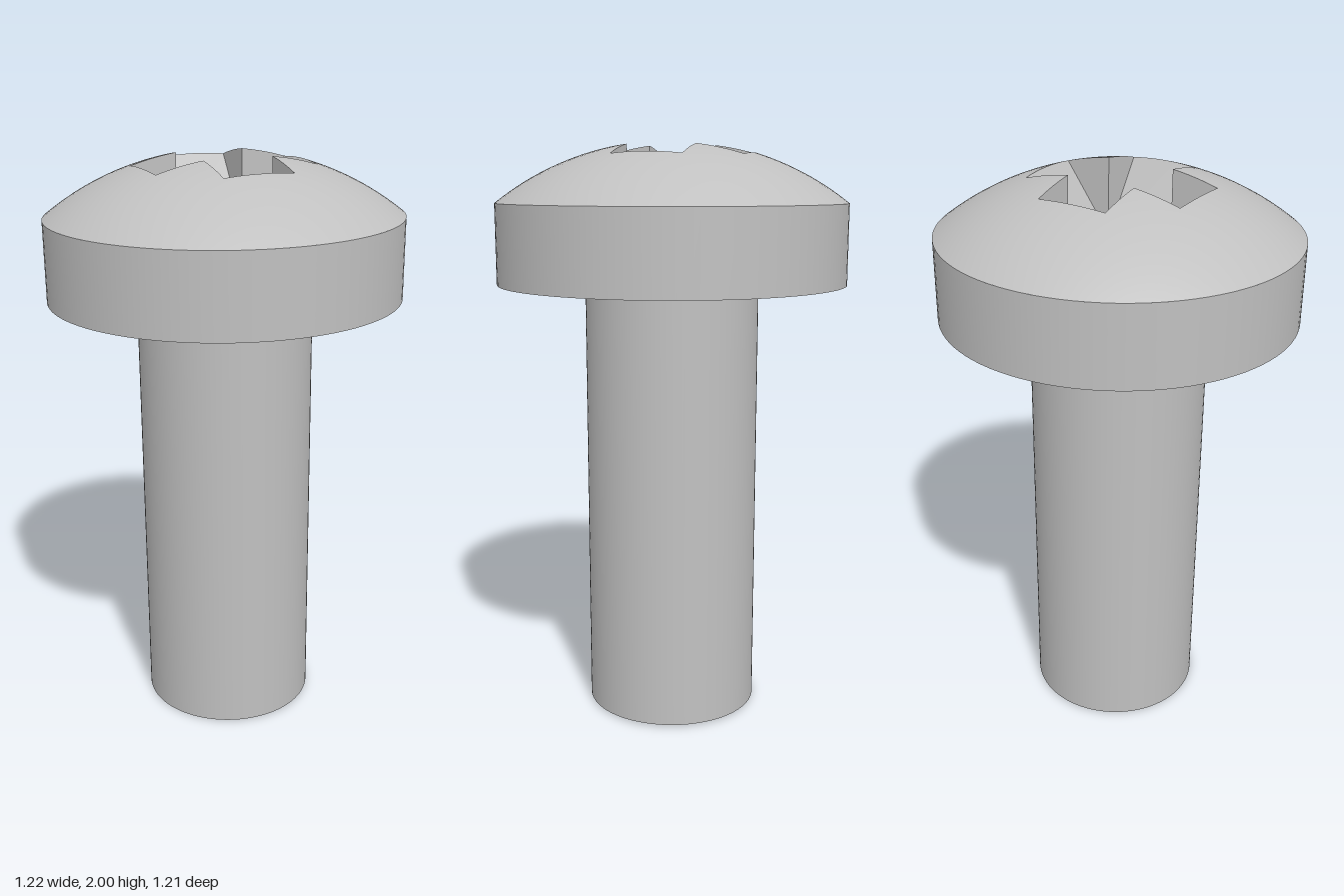
import * as THREE from 'three';

const SHANK_R = 0.302, HEAD_R = 0.606, UNDER_Y = 1.527, RIM_Y = 1.802;
const DOME_R = 0.98;                       // radius of the dome's sphere
const HALF = 0.121, REACH = 0.283;         // cross arm half width and reach
const SLOPE = 1.4;                         // steepness of the arm floors
const TURN = THREE.MathUtils.degToRad(14.3);
const SEGMENTS = 96;

const domeBase = RIM_Y - Math.sqrt(DOME_R ** 2 - HEAD_R ** 2);
const domeY = (r) => domeBase + Math.sqrt(DOME_R ** 2 - r * r);
const floorY = (u) => domeY(Math.hypot(REACH, HALF)) - SLOPE * (REACH - u);

// Radius of the cross-shaped opening at an angle from an arm's axis
const cornerAngle = Math.atan2(HALF, REACH);
function outline(t) {
  if (Math.abs(t) >= cornerAngle) return HALF / Math.sin(Math.abs(t));
  let lo = 0.2, hi = 0.4;
  for (let i = 0; i < 40; i++) {
    const r = (lo + hi) / 2;
    if (floorY(r * Math.cos(t)) < domeY(r)) lo = r; else hi = r;
  }
  return lo;
}

// Sample angles across one arm: side, end arc, side
const stops = [-Math.PI / 4, -cornerAngle, cornerAngle, Math.PI / 4];
const steps = [6, 12, 6];
const armAngles = [stops[0]];
steps.forEach((n, s) => {
  for (let i = 1; i <= n; i++) armAngles.push(stops[s] + (stops[s + 1] - stops[s]) * i / n);
});

// Dome with the cross opening, rows running from the rim inwards
function domeGeometry() {
  const columns = [];
  for (let q = 0; q < 4; q++) {
    armAngles.slice(q ? 1 : 0).forEach((t) => columns.push([TURN + q * Math.PI / 2 + t, outline(t)]));
  }
  const rows = 12;
  const geo = new THREE.PlaneGeometry(1, 1, columns.length - 1, rows);
  const pos = geo.attributes.position, normal = geo.attributes.normal;
  for (let i = 0; i < pos.count; i++) {
    const [a, inner] = columns[i % columns.length];
    const f = Math.floor(i / columns.length) / rows;
    const r = HEAD_R + (inner - HEAD_R) * f;
    const x = r * Math.cos(a), z = r * Math.sin(a), y = domeY(r);
    pos.setXYZ(i, x, y, z);
    normal.setXYZ(i, x / DOME_R, (y - domeBase) / DOME_R, z / DOME_R);
  }
  return geo;
}

// Cross recess: two crossing V-shaped slots, flat shaded
function recessGeometry() {
  const out = [];
  for (let q = 0; q < 4; q++) {
    const a = TURN + q * Math.PI / 2, c = Math.cos(a), s = Math.sin(a);
    const tri = (...pts) => pts.forEach(([u, y, v]) => out.push(u * c - v * s, y, u * s + v * c));
    const edge = armAngles.map((t) => {
      const r = outline(t);
      return [r * Math.cos(t), domeY(r), r * Math.sin(t)];
    });
    const b1 = [HALF, floorY(HALF), -HALF], b2 = [HALF, floorY(HALF), HALF];
    const mid = [HALF, floorY(0), 0], centre = [0, floorY(0), 0];
    const arcStart = steps[0], arcEnd = steps[0] + steps[1];
    for (let i = 0; i < edge.length - 1; i++) {
      if (i < arcStart) tri(b1, edge[i + 1], edge[i]);             // side wall
      else if (i < arcEnd) tri(b1, edge[i + 1], edge[i]);          // sloping floor
      else tri(b2, edge[i + 1], edge[i]);                          // side wall
    }
    tri(b1, b2, edge[arcEnd]);
    tri(b1, mid, b2);            // step down into the centre
    tri(centre, b2, mid);        // centre facets
    tri(centre, mid, b1);
  }
  const geo = new THREE.BufferGeometry();
  geo.setAttribute('position', new THREE.Float32BufferAttribute(out, 3));
  geo.computeVertexNormals();
  return geo;
}

export function createModel() {
  const steel = new THREE.MeshStandardMaterial({ color: 0xc0c0c0 });
  steel.name = 'steel';
  const screw = new THREE.Group();
  screw.name = 'screw';
  const add = (name, geo) => {
    const mesh = new THREE.Mesh(geo, steel);
    mesh.name = name;
    screw.add(mesh);
  };
  const tube = (r, y0, y1) =>
    new THREE.CylinderGeometry(r, r, y1 - y0, SEGMENTS, 1, true).translate(0, (y0 + y1) / 2, 0);

  add('shank', tube(SHANK_R, 0, UNDER_Y));
  add('shankEnd', new THREE.CircleGeometry(SHANK_R, SEGMENTS).rotateX(Math.PI / 2));
  add('headUnderside', new THREE.RingGeometry(SHANK_R, HEAD_R, SEGMENTS).rotateX(Math.PI / 2).translate(0, UNDER_Y, 0));
  add('headRim', tube(HEAD_R, UNDER_Y, RIM_Y));
  add('headDome', domeGeometry());
  add('crossRecess', recessGeometry());

  // The screw leans very slightly
  screw.rotation.z = 0.0122;
  screw.position.set(0.018, 0.004, 0);
  const model = new THREE.Group();
  model.name = 'model';
  model.add(screw);
  return model;
}
